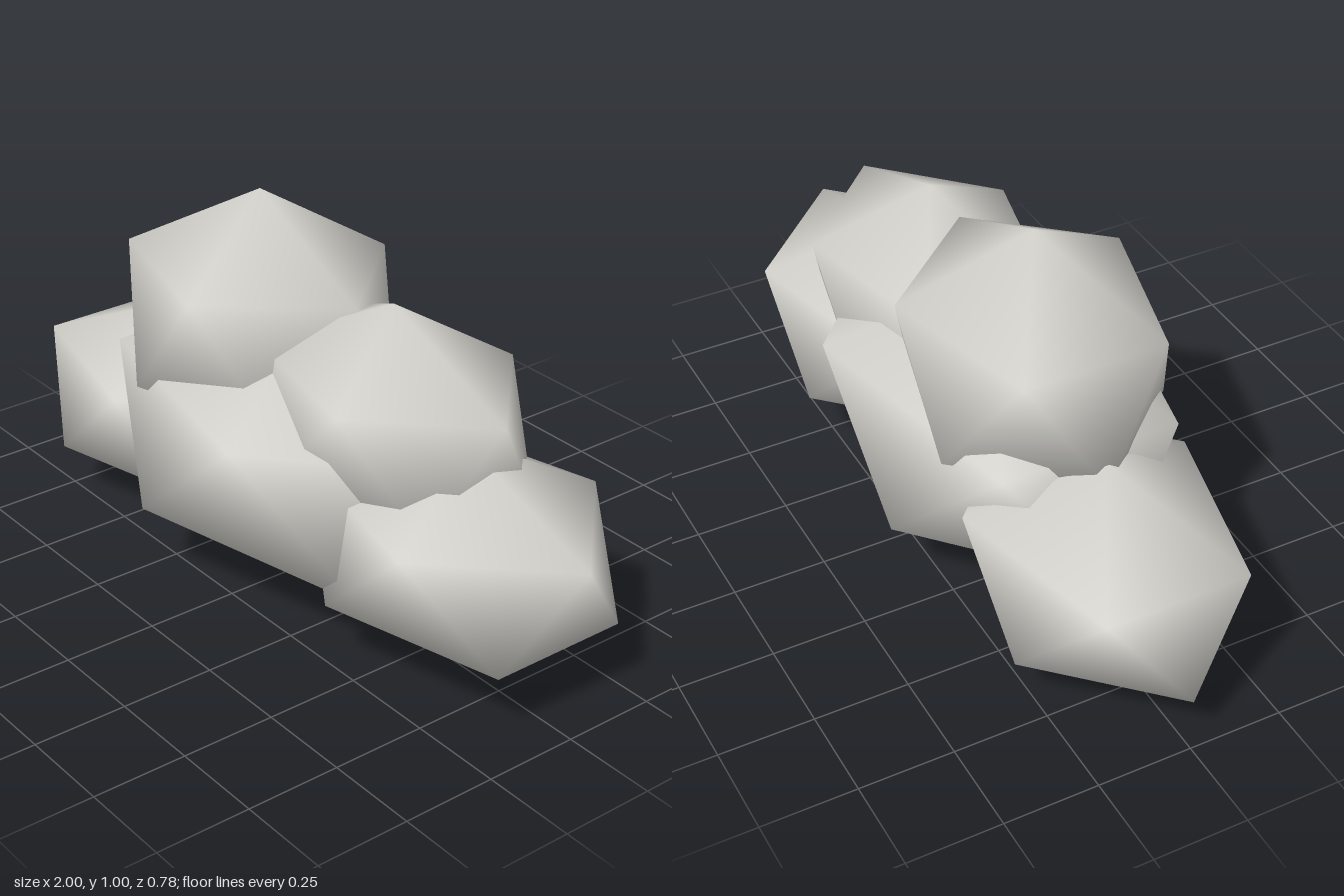
import * as THREE from 'three';

// Unit icosahedron standing on a corner, with shared corners for smooth shading
function puffGeometry() {
  const y = 1 / Math.sqrt(5), r = 2 * y;
  const points = [0, 1, 0, 0, -1, 0];
  const index = [];
  for (let i = 0; i < 5; i++) {
    const a = i * Math.PI * 0.4, b = a + Math.PI * 0.2;
    points.push(r * Math.cos(a), y, r * Math.sin(a)); // upper ring
    points.push(r * Math.cos(b), -y, r * Math.sin(b)); // lower ring
    const u0 = 2 + 2 * i, l0 = u0 + 1;
    const u1 = 2 + 2 * ((i + 1) % 5), l1 = u1 + 1;
    index.push(0, u1, u0, u1, l0, u0, l1, l0, u1, l1, 1, l0);
  }
  const geometry = new THREE.BufferGeometry();
  geometry.setAttribute('position', new THREE.Float32BufferAttribute(points, 3));
  geometry.setIndex(index);
  geometry.computeVertexNormals();
  return geometry;
}

export function createModel() {
  const model = new THREE.Group();
  model.name = 'cloud';
  const cloudGrey = new THREE.MeshStandardMaterial({ color: 0xd6d5cf });
  cloudGrey.name = 'cloudGrey';

  // Name, centre, radii
  const puffs = [
    ['middlePuff', [0, 0.38, 0], [0.69, 0.36, 0.46]],
    ['lowerRightPuff', [-0.562, 0.282, 0], [0.49, 0.28, 0.365]],
    ['lowerLeftPuff', [0.56, 0.315, -0.032], [0.49, 0.28, 0.365]],
    ['upperRightPuff', [-0.198, 0.652, 0], [0.435, 0.352, 0.365]],
    ['upperLeftPuff', [0.293, 0.547, -0.032], [0.457, 0.309, 0.327]],
  ];
  for (const [name, centre, radii] of puffs) {
    const puff = new THREE.Mesh(puffGeometry().scale(...radii), cloudGrey);
    puff.name = name;
    puff.position.set(...centre);
    model.add(puff);
  }
  return model;
}
